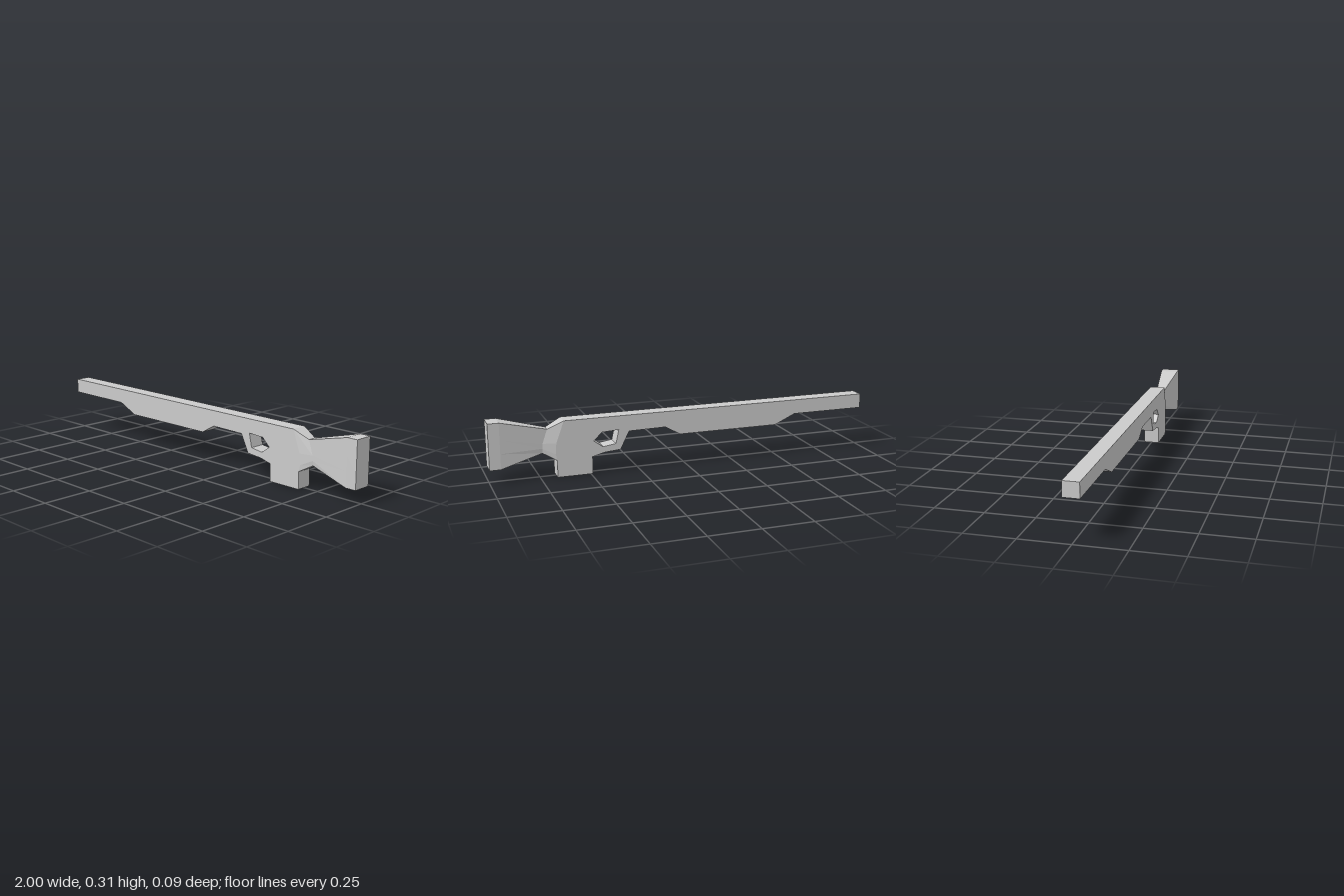
import * as THREE from 'three';

const material = new THREE.MeshStandardMaterial({ color: 0xcccccc, flatShading: true });
const HALF = 0.04; // half thickness of the body

function addMesh(group, geometry, name) {
  const mesh = new THREE.Mesh(geometry, material);
  mesh.name = name;
  group.add(mesh);
}

// Joins stations of [x, y, halfWidth] rows (top to bottom), mirrored in z
function loft(stations, closeEnd) {
  const pos = [];
  const loops = stations.map(rows => [
    ...rows.map(([x, y, w]) => [x, y, w]),
    ...rows.slice().reverse().map(([x, y, w]) => [x, y, -w]),
  ]);
  const n = loops[0].length;
  for (let s = 0; s < loops.length - 1; s++) {
    for (let i = 0; i < n; i++) {
      const j = (i + 1) % n;
      const a = loops[s][i], b = loops[s][j], c = loops[s + 1][j], d = loops[s + 1][i];
      pos.push(...a, ...b, ...c, ...a, ...c, ...d);
    }
  }
  if (closeEnd) {
    const end = loops[loops.length - 1];
    for (let i = 1; i < n - 1; i++) pos.push(...end[0], ...end[i], ...end[i + 1]);
  }
  const geometry = new THREE.BufferGeometry();
  geometry.setAttribute('position', new THREE.Float32BufferAttribute(pos, 3));
  geometry.computeVertexNormals();
  return geometry;
}

export function createModel() {
  const group = new THREE.Group();
  const points = list => list.map(([x, y]) => new THREE.Vector2(x, y));

  // Barrel, fore-end, trigger guard and magazine share one flat outline
  const outline = new THREE.Shape(points([
    [-1, 0.285], [-1, 0.21], [-0.61, 0.21], [-0.5, 0.16], [0.03, 0.16], [0.11, 0.205],
    [0.3, 0.202], [0.345, 0.112], [0.43, 0.104], [0.49, 0.088], [0.49, 0], [0.668, 0],
    [0.668, 0.087], [0.675, 0.12], [0.67, 0.175], [0.63, 0.285],
  ]));
  // Trigger opening
  outline.holes.push(new THREE.Path(points([
    [0.353, 0.214], [0.44, 0.209], [0.482, 0.168], [0.435, 0.134], [0.369, 0.144],
  ])));
  const body = new THREE.ExtrudeGeometry(outline, { depth: 2 * HALF, bevelEnabled: false });
  body.translate(0, 0, -HALF);
  addMesh(group, body, 'body');

  // Pinched neck behind the body, flaring into the shoulder stock
  const bodyEnd = [[0.63, 0.285, HALF], [0.67, 0.175, HALF], [0.675, 0.12, HALF], [0.668, 0.087, HALF]];
  const neck = [[0.71, 0.246, 0.022], [0.735, 0.175, 0.025], [0.737, 0.15, 0.025], [0.737, 0.126, 0.022]];
  const flare = [0.305, 0.22, 0.15, 0.072].map(y => [0.945, y, 0.047]);
  const butt = flare.map(([, y, w]) => [1, y, w]);
  addMesh(group, loft([bodyEnd, neck], false), 'neck');
  addMesh(group, loft([neck, flare, butt], true), 'stock');

  return group;
}
